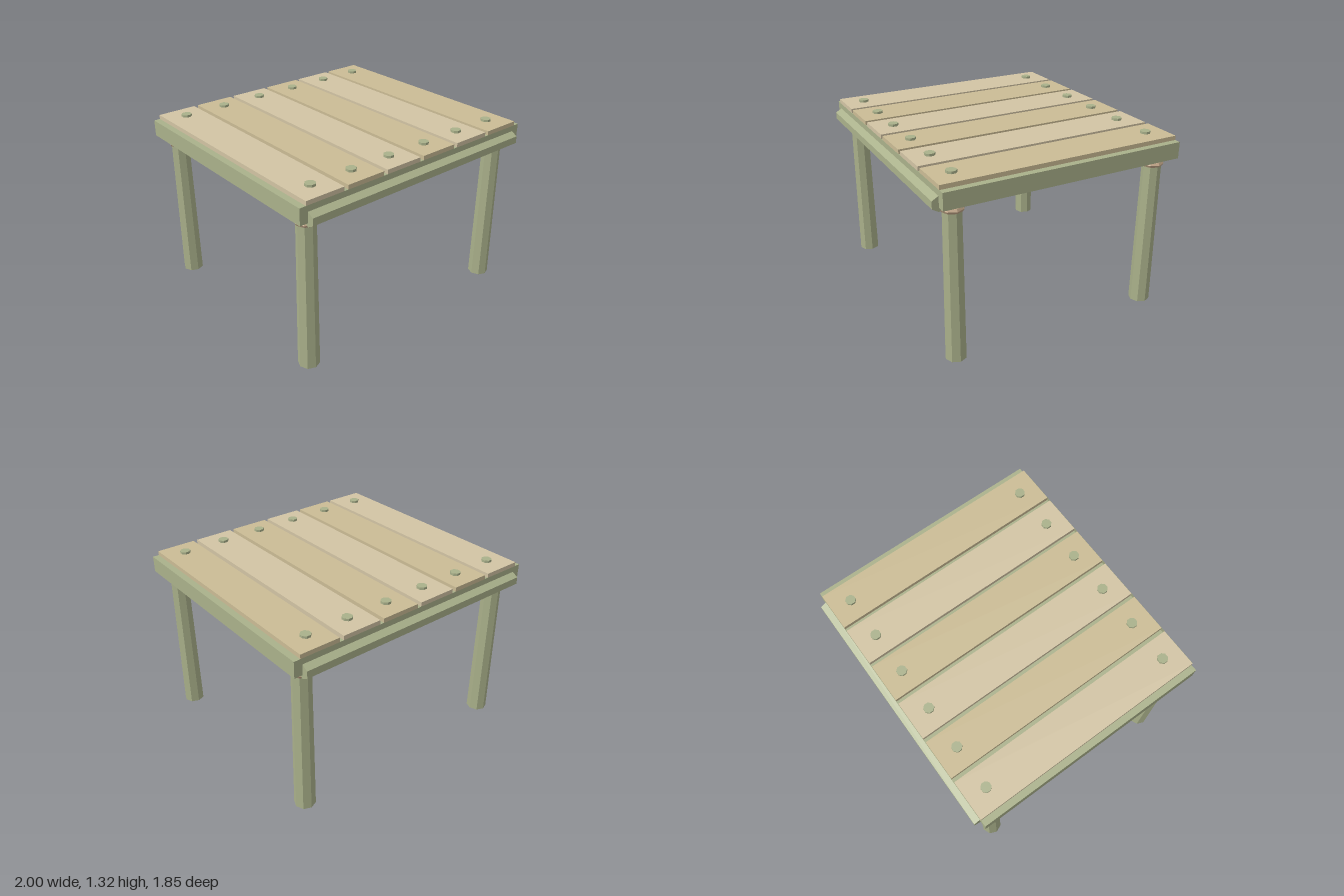
import * as THREE from 'three';

const mat = (color) => new THREE.MeshStandardMaterial({ color, flatShading: true });

export function createModel() {
  const group = new THREE.Group();
  const green = mat(0xaab18b);
  const planks = [mat(0xd2c4a4), mat(0xcbbc95)];
  const tan = mat(0xc4a88a);

  const add = (name, geometry, material, x, y, z) => {
    const mesh = new THREE.Mesh(geometry, material);
    mesh.name = name;
    mesh.position.set(x, y, z);
    group.add(mesh);
    return mesh;
  };

  // Base slab under the planks
  add('tableBase', new THREE.BoxGeometry(2, 0.118, 1.76), green, 0, 1.209, 0);

  // Six planks in alternating tones, each held by a bolt at both ends
  const plankGeo = new THREE.BoxGeometry(0.292, 0.032, 1.76);
  const boltGeo = new THREE.CylinderGeometry(0.037, 0.037, 0.018, 8, 1, false, Math.PI / 8);
  for (let i = 0; i < 6; i++) {
    const x = (i - 2.5) * 0.323;
    add('plank', plankGeo, planks[i % 2], x, 1.283, 0);
    for (const s of [-1, 1]) add('bolt', boltGeo, green, x, 1.307, s * 0.735);
  }

  // Hexagonal rails along the front and back edges
  const railGeo = new THREE.CylinderGeometry(0.052, 0.052, 1.88, 6, 1, false, Math.PI / 2);
  railGeo.rotateZ(Math.PI / 2);
  for (const s of [-1, 1]) add(s > 0 ? 'frontRail' : 'backRail', railGeo, green, 0, 1.174, s * 0.88);

  // Tapered octagonal legs with a ring near the top
  const legGeo = new THREE.CylinderGeometry(0.066, 0.075, 1.16, 8);
  const ringGeo = new THREE.TorusGeometry(0.063, 0.019, 6, 8);
  ringGeo.rotateX(Math.PI / 2);
  for (const sx of [-1, 1]) {
    for (const sz of [-1, 1]) {
      add('leg', legGeo, green, sx * 0.868, 0.58, sz * 0.765);
      add('legRing', ringGeo, tan, sx * 0.868, 1.098, sz * 0.765);
    }
  }
  return group;
}
